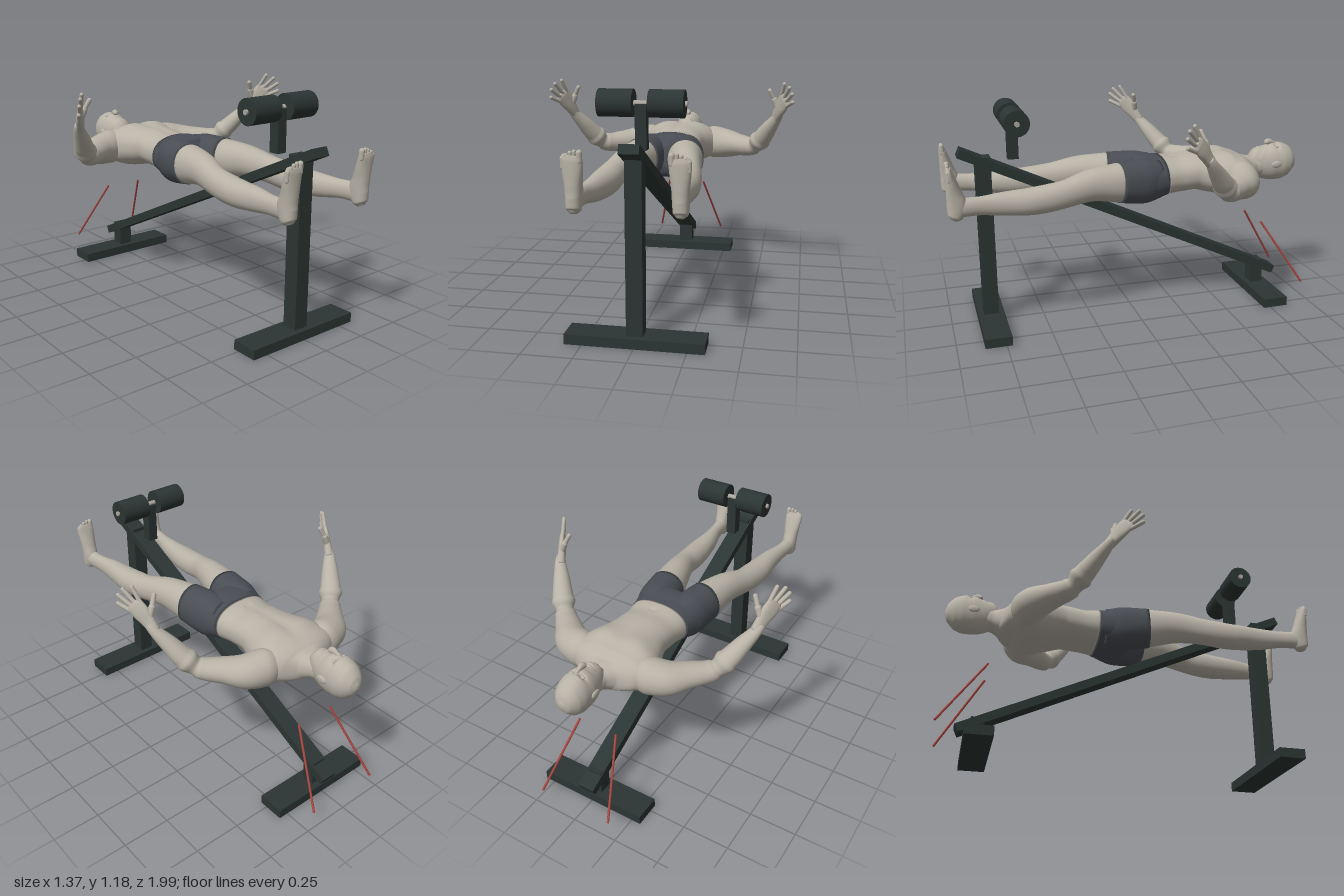
import * as THREE from 'three';

const mat = (name, color) => {
  const m = new THREE.MeshStandardMaterial({ color });
  m.name = name;
  return m;
};
const V = (x, y, z) => new THREE.Vector3(x, y, z);

// Smooth body through sections [x, y, z, radiusU, radiusV], from section a to section b
function loft(pts, { ref = V(0, 1, 0), a = 0, b = pts.length - 1, grow = 0, power = 2, sides = 36, steps = 7 } = {}) {
  const path = new THREE.CatmullRomCurve3(pts.map(p => V(p[0], p[1], p[2])));
  const radii = new THREE.CatmullRomCurve3(pts.map(p => V(p[3], p[4], 0)));
  const rows = Math.round((b - a) * steps), pos = [], idx = [];
  const round = c => Math.sign(c) * Math.pow(Math.abs(c), 2 / power);
  const centres = [];
  for (let i = 0; i <= rows; i++) {
    const t = (a + (b - a) * i / rows) / (pts.length - 1);
    const c = path.getPoint(t), r = radii.getPoint(t), T = path.getTangent(t);
    const U = ref.clone().cross(T).normalize(), W = T.clone().cross(U);
    centres.push(c);
    for (let j = 0; j < sides; j++) {
      const q = j / sides * Math.PI * 2;
      const p = c.clone().addScaledVector(U, round(Math.cos(q)) * (r.x + grow))
        .addScaledVector(W, round(Math.sin(q)) * (r.y + grow));
      pos.push(p.x, p.y, p.z);
    }
  }
  for (let i = 0; i < rows; i++) for (let j = 0; j < sides; j++) {
    const k = (j + 1) % sides, p = i * sides, n = p + sides;
    idx.push(p + j, p + k, n + k, p + j, n + k, n + j);
  }
  const c0 = pos.length / 3, last = rows * sides;
  for (const c of [centres[0], centres[rows]]) pos.push(c.x, c.y, c.z);
  for (let j = 0; j < sides; j++) {
    const k = (j + 1) % sides;
    idx.push(c0, k, j, c0 + 1, last + j, last + k);
  }
  const g = new THREE.BufferGeometry();
  g.setAttribute('position', new THREE.Float32BufferAttribute(pos, 3));
  g.setIndex(idx);
  g.computeVertexNormals();
  return g;
}

// Raise or sink the upward side around mirrored spots [x, z, radiusX, radiusZ, amount]
function sculpt(g, spots, level) {
  const p = g.attributes.position;
  for (let i = 0; i < p.count; i++) {
    const w = Math.min(1, Math.max(0, (p.getY(i) - level) / 0.05));
    let dy = 0;
    for (const [x, z, rx, rz, h] of spots)
      dy += h * Math.exp(-(((Math.abs(p.getX(i)) - x) / rx) ** 2) - ((p.getZ(i) - z) / rz) ** 2);
    p.setY(i, p.getY(i) + dy * w);
  }
  g.computeVertexNormals();
  return g;
}

export function createModel() {
  const model = new THREE.Group();
  model.name = 'exerciseBenchWithFigure';
  const skin = mat('skin', 0xb8b2a6), cloth = mat('shorts', 0x4a4e54), frame = mat('frame', 0x2b3533),
    red = mat('red', 0xa84640), metal = mat('metal', 0xaaa69e);
  const add = (name, geo, material, x = 0, y = 0, z = 0) => {
    const m = new THREE.Mesh(geo, material);
    m.name = name;
    m.position.set(x, y, z);
    model.add(m);
    return m;
  };
  const box = (name, w, h, d, x, y, z) => add(name, new THREE.BoxGeometry(w, h, d), frame, x, y, z);
  const between = (name, geo, material, p, q) => {
    const m = add(name, geo, material);
    m.position.copy(p).lerp(q, 0.5);
    m.quaternion.setFromUnitVectors(V(0, 1, 0), q.clone().sub(p).normalize());
    return m;
  };
  const digit = (name, p, q, r) =>
    between(name, new THREE.CapsuleGeometry(r, p.distanceTo(q) - r, 6, 14), skin, p, q);
  const ball = (name, x, y, z, rx, ry, rz) =>
    add(name, new THREE.SphereGeometry(1, 24, 16), skin, x, y, z).scale.set(rx, ry, rz);

  // Bench frame
  box('frontBase', 0.67, 0.05, 0.14, 0, 0.025, 0.79);
  box('frontPost', 0.08, 0.87, 0.08, 0, 0.485, 0.79);
  box('rearBase', 0.6, 0.05, 0.14, 0, 0.025, -0.78);
  box('rearPost', 0.08, 0.14, 0.07, 0, 0.115, -0.78);
  box('slopingBeam', 0.094, 0.046, 1.98, 0, 0.533, 0.013).rotation.x = -Math.atan2(0.835, 1.795);
  box('rollerPost', 0.054, 0.215, 0.056, 0, 1.007, 0.632);
  add('rollerAxle', new THREE.CylinderGeometry(0.013, 0.013, 0.43, 24), metal, 0, 1.117, 0.632).rotation.z = Math.PI / 2;

  // Torso sections, neck to crotch
  const torso = [
    [0, 0.765, -0.82, 0.055, 0.055], [0, 0.755, -0.745, 0.066, 0.058], [0, 0.75, -0.705, 0.095, 0.07],
    [0, 0.745, -0.67, 0.175, 0.083], [0, 0.745, -0.62, 0.235, 0.104], [0, 0.745, -0.55, 0.23, 0.12],
    [0, 0.755, -0.45, 0.187, 0.113], [0, 0.763, -0.36, 0.157, 0.102], [0, 0.755, -0.27, 0.155, 0.099],
    [0, 0.752, -0.18, 0.167, 0.106], [0, 0.745, -0.08, 0.186, 0.118], [0, 0.75, -0.01, 0.165, 0.105],
    [0, 0.755, 0.02, 0.08, 0.05]];
  const chest = [[0.1, -0.52, 0.08, 0.07, 0.012], [0, -0.5, 0.02, 0.12, -0.008],
    [0, -0.3, 0.012, 0.1, -0.004], [0, -0.235, 0.012, 0.012, -0.008]];
  add('torso', sculpt(loft(torso, { b: 9, power: 2.3, sides: 64, steps: 10 }), chest, 0.75), skin);
  add('shortsHips', loft(torso, { a: 9, power: 2.3, grow: 0.003, sides: 48 }), cloth);

  // Head with brow, sockets, lips and chin
  const head = [
    [0, 0.775, -1.0, 0.01, 0.012], [0, 0.775, -0.987, 0.042, 0.048], [0, 0.776, -0.95, 0.072, 0.09],
    [0, 0.777, -0.9, 0.082, 0.108], [0, 0.777, -0.85, 0.081, 0.108], [0, 0.787, -0.8, 0.07, 0.1],
    [0, 0.808, -0.76, 0.055, 0.077], [0, 0.83, -0.735, 0.036, 0.047], [0, 0.835, -0.728, 0.01, 0.012]];
  const face = [[0.032, -0.872, 0.018, 0.012, -0.012], [0.032, -0.893, 0.025, 0.009, 0.004],
    [0, -0.787, 0.022, 0.005, 0.006], [0, -0.779, 0.024, 0.003, -0.006], [0, -0.771, 0.02, 0.005, 0.005],
    [0, -0.759, 0.03, 0.004, -0.004]];
  add('head', sculpt(loft(head, { sides: 72, steps: 14 }), face, 0.79), skin);
  add('nose', loft([[0, 0.876, -0.885, 0.006, 0.006], [0, 0.884, -0.86, 0.009, 0.012],
    [0, 0.892, -0.832, 0.014, 0.018], [0, 0.888, -0.818, 0.016, 0.014], [0, 0.88, -0.81, 0.006, 0.004]],
  { sides: 20 }), skin);

  for (const s of [1, -1]) {
    const side = s > 0 ? 'left' : 'right';
    const P = (x, y, z) => V(s * x, y, z);
    const mirror = pts => pts.map(([x, ...rest]) => [s * x, ...rest]);

    // Roller pad and loose red rod
    add(side + 'RollerPad', new THREE.CylinderGeometry(0.065, 0.065, 0.166, 40), frame, s * 0.12, 1.117, 0.632)
      .rotation.z = Math.PI / 2;
    const top = P(0.11, 0.452, -0.755), low = P(0.205, 0.09, -0.988);
    between(side + 'Rod', new THREE.CylinderGeometry(0.006, 0.006, top.distanceTo(low), 12), red, low, top);

    // Face details
    ball(side + 'Ear', s * 0.083, 0.775, -0.85, 0.009, 0.02, 0.03);
    ball(side + 'Eye', s * 0.031, 0.866, -0.872, 0.013, 0.008, 0.008);

    // Leg, with the shorts covering its upper sections
    const leg = mirror([
      [0.085, 0.75, -0.14, 0.08, 0.1], [0.1, 0.748, -0.04, 0.098, 0.117], [0.122, 0.757, 0.1, 0.094, 0.105],
      [0.152, 0.763, 0.25, 0.077, 0.085], [0.188, 0.738, 0.4, 0.063, 0.072], [0.197, 0.725, 0.5, 0.067, 0.072],
      [0.203, 0.72, 0.58, 0.066, 0.07], [0.21, 0.722, 0.72, 0.05, 0.06], [0.228, 0.727, 0.85, 0.035, 0.047],
      [0.235, 0.727, 0.93, 0.036, 0.048], [0.236, 0.72, 0.97, 0.025, 0.03]]);
    add(side + 'ShortsLeg', loft(leg, { b: 2, grow: 0.004, power: 2.15 }), cloth);
    add(side + 'Leg', loft(leg, { a: 1.9, power: 2.1 }), skin);

    // Foot, heel to ball, then toes from big to small
    add(side + 'Foot', loft(mirror([
      [0.237, 0.668, 0.965, 0.016, 0.016], [0.237, 0.686, 0.957, 0.034, 0.038], [0.236, 0.74, 0.945, 0.039, 0.05],
      [0.236, 0.8, 0.955, 0.041, 0.04], [0.236, 0.86, 0.966, 0.047, 0.029], [0.236, 0.91, 0.975, 0.05, 0.019],
      [0.234, 0.93, 0.977, 0.042, 0.012]]), { ref: V(0, 0, 1), power: 2.2 }), skin);
    for (let i = 0; i < 5; i++) {
      const x = [0.2, 0.222, 0.241, 0.259, 0.276][i], tip = [0.948, 0.95, 0.944, 0.934, 0.92][i];
      digit(side + 'Toe' + (i + 1), P(x, tip - 0.05, 0.977), P(x, tip, 0.98), i ? 0.0095 : 0.0135);
    }

    // Arm, bent up at the elbow
    add(side + 'Arm', loft(mirror([
      [0.13, 0.745, -0.6, 0.06, 0.07], [0.2, 0.745, -0.58, 0.09, 0.096], [0.28, 0.742, -0.55, 0.09, 0.085],
      [0.36, 0.747, -0.48, 0.072, 0.064], [0.45, 0.757, -0.395, 0.056, 0.052], [0.5, 0.81, -0.345, 0.056, 0.052],
      [0.545, 0.88, -0.29, 0.045, 0.042], [0.59, 0.95, -0.235, 0.029, 0.027], [0.6, 0.975, -0.215, 0.024, 0.022]])), skin);

    // Hand
    add(side + 'Palm', loft(mirror([
      [0.583, 0.942, -0.242, 0.027, 0.025], [0.6, 0.99, -0.205, 0.036, 0.021], [0.617, 1.03, -0.175, 0.045, 0.018],
      [0.63, 1.06, -0.15, 0.044, 0.014], [0.636, 1.072, -0.14, 0.03, 0.008]]), { ref: P(0.82, 0.13, -0.55), power: 2.3 }), skin);
    const tips = [[0.628, 1.15, -0.127], [0.657, 1.133, -0.092], [0.674, 1.1, -0.075], [0.678, 1.056, -0.075]];
    tips.forEach((t, i) => digit(side + 'Finger' + (i + 1),
      P(0.611 + 0.01 * i, 1.075 - 0.017 * i, -0.172 + 0.011 * i), P(...t), 0.0105));
    digit(side + 'ThumbBase', P(0.597, 0.995, -0.212), P(0.57, 1.06, -0.206), 0.017);
    digit(side + 'Thumb', P(0.572, 1.055, -0.206), P(0.546, 1.108, -0.19), 0.012);
  }
  return model;
}
